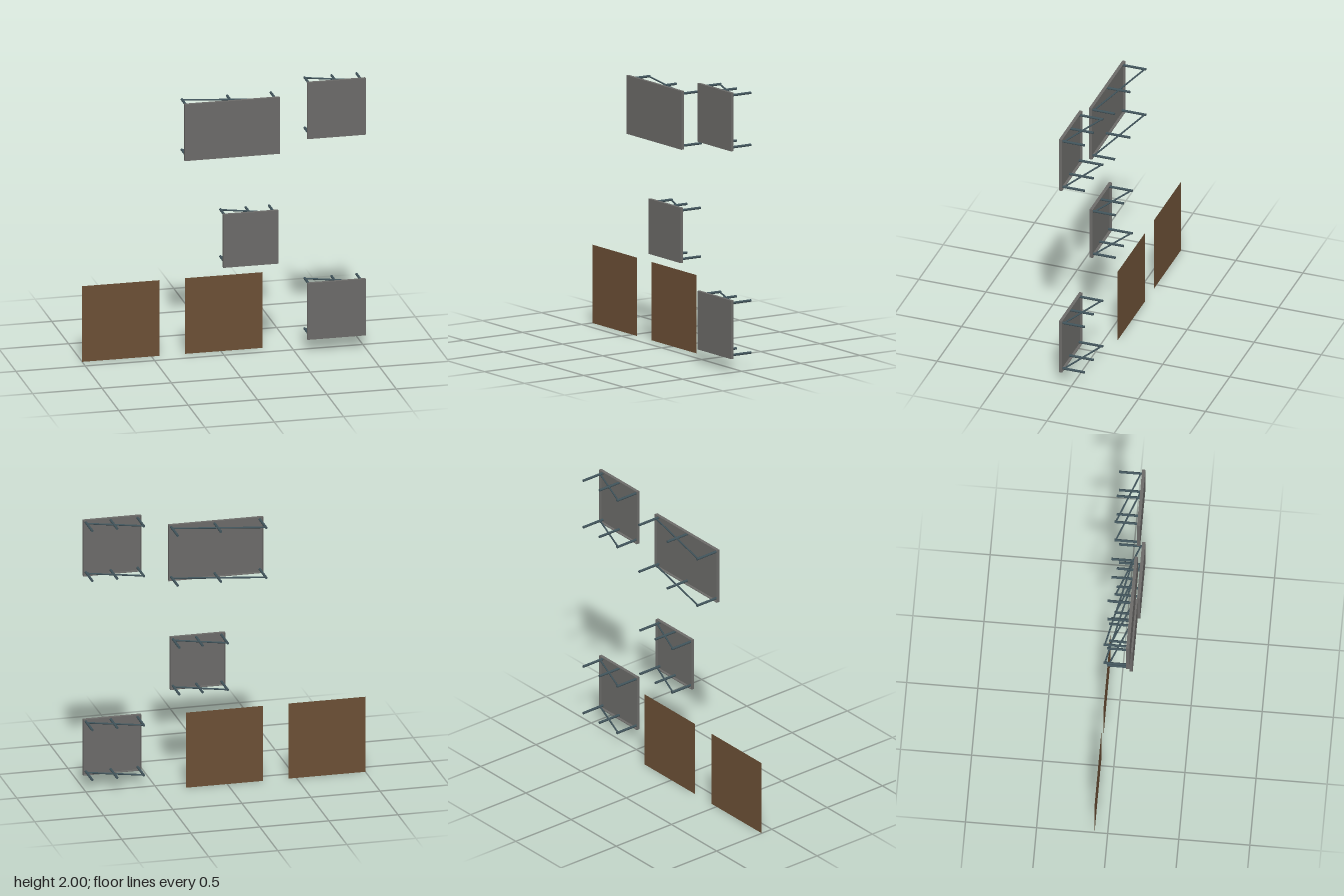
import * as THREE from 'three';

const FRONT = 0.092, BACK = -0.092, DEPTH = 0.023, SHEET = 0.005;
const panelMat = new THREE.MeshStandardMaterial({ color: 0x6b6a68 });
const steelMat = new THREE.MeshStandardMaterial({ color: 0x40535a });
const brownMat = new THREE.MeshStandardMaterial({ color: 0x6b4f35, side: THREE.DoubleSide });

function box(name, w, h, d, x, y, z) {
  const mesh = new THREE.Mesh(new THREE.BoxGeometry(w, h, d), panelMat);
  mesh.name = name;
  mesh.position.set(x, y, z);
  return mesh;
}

// Round bar between two points
function bar(name, a, b, radius) {
  const dir = b.clone().sub(a);
  const mesh = new THREE.Mesh(new THREE.CylinderGeometry(radius, radius, dir.length(), 16), steelMat);
  mesh.name = name;
  mesh.position.copy(a).add(b).multiplyScalar(0.5);
  mesh.quaternion.setFromUnitVectors(new THREE.Vector3(0, 1, 0), dir.normalize());
  return mesh;
}

// Shallow tray panel, open at the back, held off the wall by two braced rows of posts
function signPanel(x0, x1, y0, y1) {
  const group = new THREE.Group();
  group.name = 'standoffPanel';
  const w = x1 - x0, h = y1 - y0, cx = (x0 + x1) / 2, cy = (y0 + y1) / 2;
  const zMid = FRONT - DEPTH / 2;
  group.add(box('panelFace', w, h, SHEET, cx, cy, FRONT - SHEET / 2));
  for (const s of [-1, 1]) {
    group.add(box('panelSideLip', SHEET, h, DEPTH, cx + s * (w - SHEET) / 2, cy, zMid));
    group.add(box('panelEdgeLip', w - 2 * SHEET, SHEET, DEPTH, cx, cy + s * (h - SHEET) / 2, zMid));
  }
  const inset = 0.023, left = x0 + inset, right = x1 - inset;
  for (const y of [y0 + inset, y1 - inset]) {
    for (const x of [left, cx + 0.007, right]) {
      group.add(bar('post', new THREE.Vector3(x, y, BACK), new THREE.Vector3(x, y, FRONT - SHEET), 0.009));
    }
    group.add(bar('diagonalBrace', new THREE.Vector3(left, y, -0.082), new THREE.Vector3(right, y, 0.062), 0.006));
  }
  return group;
}

// Thin flat board standing on the ground at the back plane
function board(x0, x1, height) {
  const mesh = new THREE.Mesh(new THREE.PlaneGeometry(x1 - x0, height), brownMat);
  mesh.name = 'brownBoard';
  mesh.position.set((x0 + x1) / 2, height / 2, BACK);
  return mesh;
}

export function createModel() {
  const model = new THREE.Group();
  model.name = 'wallPanels';
  model.add(
    signPanel(-0.305, 0.382, 1.49, 1.908),
    signPanel(0.58, 1.0, 1.582, 2.0),
    signPanel(-0.027, 0.37, 0.678, 1.072),
    signPanel(0.58, 1.0, 0.097, 0.515),
    board(-1.0, -0.442, 0.56),
    board(-0.26, 0.3, 0.56)
  );
  return model;
}
